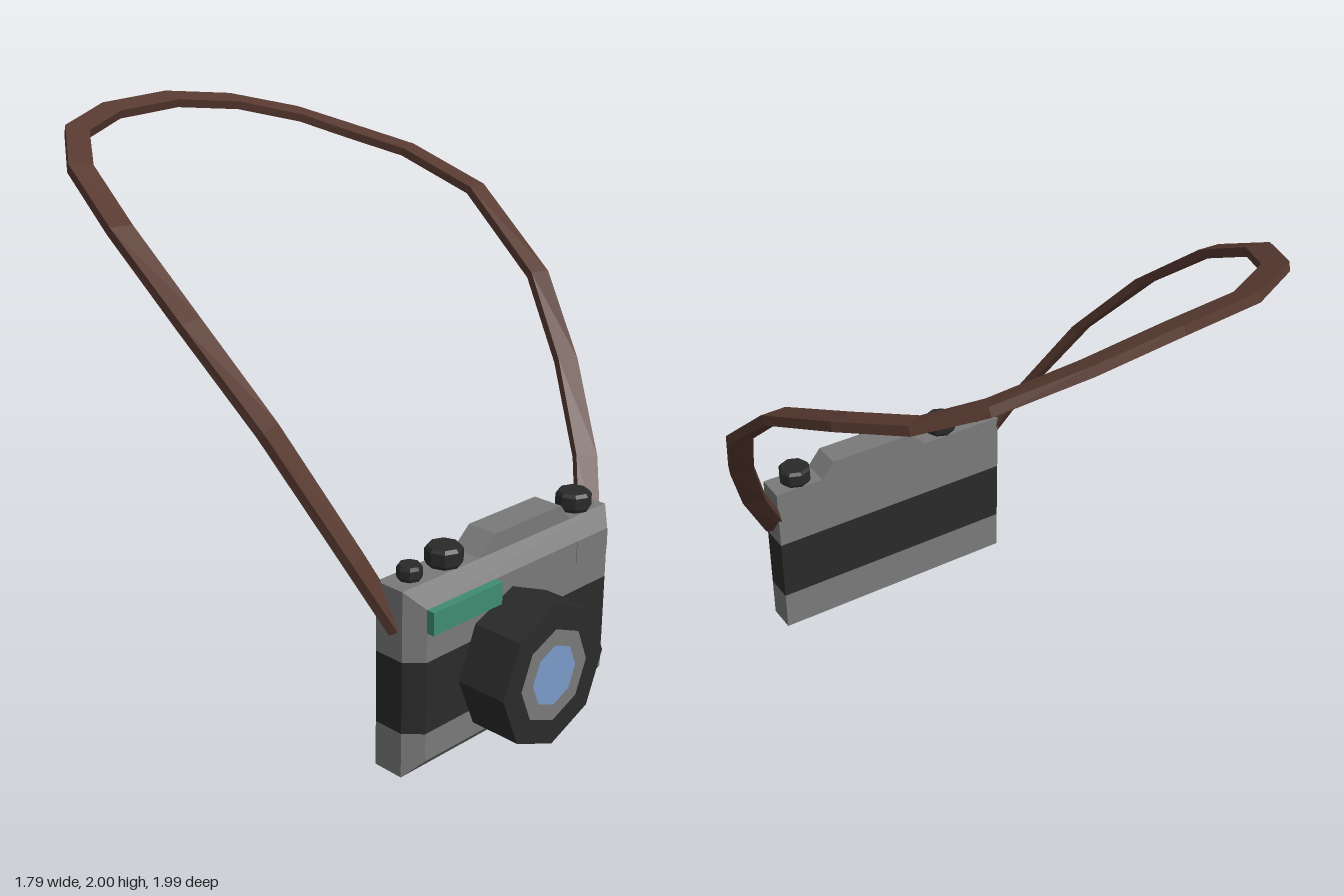
import * as THREE from 'three';
import { ConvexGeometry } from 'three/addons/geometries/ConvexGeometry.js';

const material = (name, color) => {
  const m = new THREE.MeshStandardMaterial({ color });
  m.name = name;
  return m;
};

// Faceted normals for low-poly parts
function faceted(geometry) {
  const g = geometry.index ? geometry.toNonIndexed() : geometry;
  g.computeVertexNormals();
  return g;
}

// Flat ribbon with a rectangular section, swept along a path
function ribbon(points, width, thickness) {
  const path = points.map((p) => new THREE.Vector3(...p));
  const loopNormal = new THREE.Vector3(0, 0.95, 0.3);
  const rings = path.map((p, i) => {
    const t = path[Math.min(i + 1, path.length - 1)].clone()
      .sub(path[Math.max(i - 1, 0)]).normalize();
    const w = t.clone().cross(loopNormal).normalize();
    const h = w.clone().cross(t);
    return [[1, 1], [-1, 1], [-1, -1], [1, -1]].map(([a, b]) => p.clone()
      .addScaledVector(w, a * width / 2).addScaledVector(h, b * thickness / 2));
  });
  const corners = [];
  for (let i = 0; i < rings.length - 1; i++) {
    for (let j = 0; j < 4; j++) {
      const k = (j + 1) % 4;
      const [a, b, c, d] = [rings[i][j], rings[i + 1][j], rings[i + 1][k], rings[i][k]];
      corners.push(a, b, c, a, c, d);
    }
  }
  return faceted(new THREE.BufferGeometry().setFromPoints(corners));
}

export function createModel() {
  const group = new THREE.Group();
  group.name = 'camera';
  const grey = material('bodyGrey', 0x7a7a7a);
  const black = material('gripBlack', 0x2a2a2a);
  const green = material('windowGreen', 0x408c73);
  const blue = material('glassBlue', 0x7a9bc8);
  const brown = material('strapBrown', 0x573930);

  const add = (name, geometry, mat, x = 0, y = 0, z = 0) => {
    const mesh = new THREE.Mesh(geometry, mat);
    mesh.name = name;
    mesh.position.set(x, y, z);
    group.add(mesh);
  };

  // Body: three stacked slices with a chamfered front
  const left = 0.49, right = -0.54, back = 0.63, edge = 0.745, front = 0.8, inset = 0.055;
  const outer = (y) => [[left, y, back], [right, y, back], [left, y, edge], [right, y, edge]];
  const inner = (y) => [[left - inset, y, front], [right + inset, y, front]];
  const hull = (...lists) => new ConvexGeometry(lists.flat().map((p) => new THREE.Vector3(...p)));
  add('bodyBottom', hull(outer(0), inner(0.06), outer(0.16), inner(0.16)), grey);
  add('gripBand', hull(outer(0.16), inner(0.16), outer(0.415), inner(0.415)), black);
  add('bodyTop', hull(outer(0.415), inner(0.415), inner(0.6), outer(0.66)), grey);

  // Viewfinder hump
  const hump = new THREE.Shape([[-0.18, 0.66], [0.29, 0.66], [0.237, 0.725], [-0.105, 0.725]]
    .map((p) => new THREE.Vector2(...p)));
  add('viewfinderHump', new THREE.ExtrudeGeometry(hump, { depth: edge - back, bevelEnabled: false }),
    grey, 0, 0, back);

  // Windows on the front
  add('greenWindow', new THREE.BoxGeometry(0.325, 0.08, 0.03), green, -0.323, 0.56, 0.815);
  add('greyWindow', new THREE.BoxGeometry(0.17, 0.08, 0.004), grey, 0.35, 0.56, 0.8);

  // Dials on top
  for (const [name, x, r, h] of [['shutterButton', -0.45, 0.043, 0.05],
    ['speedDial', -0.29, 0.064, 0.067], ['rewindDial', 0.38, 0.064, 0.067]]) {
    const profile = [[r * 0.9, 0], [r, 0.012], [r, h - 0.012], [r * 0.85, h], [0, h]]
      .map((p) => new THREE.Vector2(...p));
    add(name, faceted(new THREE.LatheGeometry(profile, 8)), black, x, 0.66, 0.688);
  }

  // Octagonal lens
  const lx = -0.075, ly = 0.29, tip = 0.99, depth = 0.215;
  const barrel = new THREE.CylinderGeometry(0.255, 0.255, depth, 8, 1, true).rotateX(Math.PI / 2);
  add('lensBarrel', faceted(barrel), black, lx, ly, tip - depth / 2);
  add('lensRim', new THREE.RingGeometry(0.167, 0.255, 8), black, lx, ly, tip);
  add('lensRing', new THREE.RingGeometry(0.109, 0.167, 8), grey, lx, ly, tip);
  add('lensGlass', new THREE.CircleGeometry(0.109, 8), blue, lx, ly, tip);

  // Neck strap looping up and back
  const strapPath = [
    [-0.52, 0.52, 0.70], [-0.62, 0.75, 0.61], [-0.755, 1.15, 0.37], [-0.835, 1.45, 0.10],
    [-0.85, 1.70, -0.22], [-0.785, 1.85, -0.52], [-0.63, 1.93, -0.76], [-0.38, 1.965, -0.905],
    [-0.07, 1.975, -0.95], [0.23, 1.94, -0.945], [0.51, 1.87, -0.875], [0.67, 1.80, -0.75],
    [0.785, 1.735, -0.53], [0.85, 1.61, -0.22], [0.825, 1.33, 0.13], [0.74, 1.05, 0.35],
    [0.62, 0.75, 0.55], [0.47, 0.46, 0.70],
  ];
  add('neckStrap', ribbon(strapPath, 0.085, 0.032), brown);

  return group;
}
